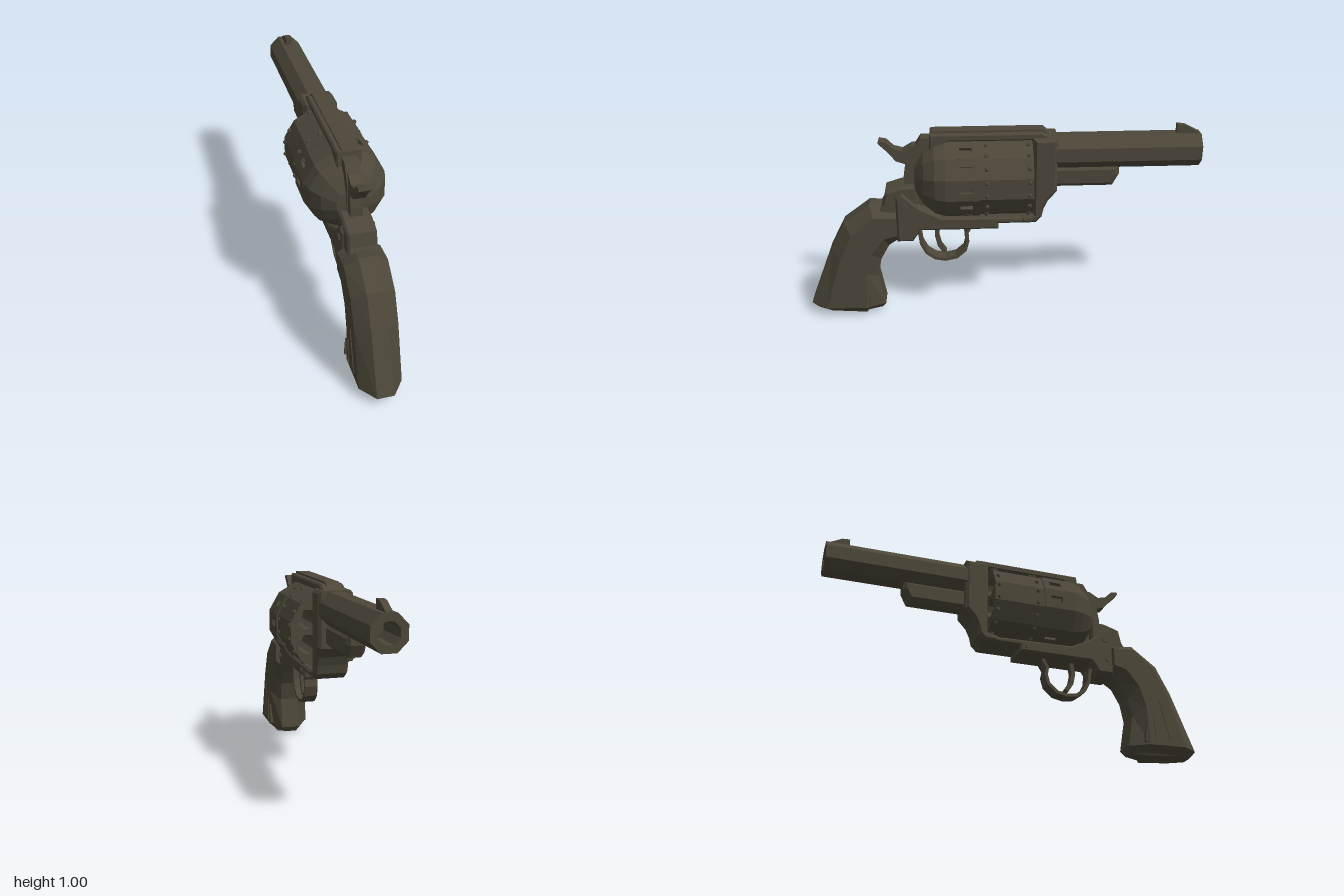
import * as THREE from 'three';

const gunmetal = new THREE.MeshStandardMaterial({ color: 0x4c4739 });
gunmetal.name = 'dark gunmetal';
const AXIS_Y = 0.745; // height of the cylinder axis
const TURN = Math.PI / 6;

export function createModel() {
  const model = new THREE.Group();
  model.name = 'revolver';

  const add = (name, geo, parent = model) => {
    const g = geo.index ? geo.toNonIndexed() : geo;
    g.computeVertexNormals(); // faceted look
    const mesh = new THREE.Mesh(g, gunmetal);
    mesh.name = name;
    parent.add(mesh);
    return mesh;
  };
  const shapeOf = pts => new THREE.Shape(pts.map(p => new THREE.Vector2(...p)));

  // Side profile in (z, y), given a half width in x and an optional chamfer
  const side = (pts, half, bevel = 0) => {
    const depth = 2 * (half - bevel);
    const g = new THREE.ExtrudeGeometry(shapeOf(pts), {
      depth, bevelEnabled: bevel > 0, bevelSize: bevel, bevelThickness: bevel,
      bevelOffset: -bevel, bevelSegments: 1,
    });
    return g.translate(0, 0, -depth / 2).rotateY(-Math.PI / 2);
  };
  // Strip of even thickness that follows a path in (z, y)
  const strip = (path, t, half) => {
    const off = s => path.map((p, i) => {
      const a = path[Math.max(i - 1, 0)], b = path[Math.min(i + 1, path.length - 1)];
      const l = Math.hypot(b[0] - a[0], b[1] - a[1]);
      return [p[0] - s * (b[1] - a[1]) / l, p[1] + s * (b[0] - a[0]) / l];
    });
    return side([...off(t / 2), ...off(-t / 2).reverse()], half);
  };
  // Faceted turned part along z, profile in (radius, z)
  const turned = (pts, sides, y) =>
    new THREE.LatheGeometry(pts.map(p => new THREE.Vector2(...p)), sides, Math.PI / sides)
      .rotateX(Math.PI / 2).translate(0, y, 0);

  // Barrel with open bore, front sight and ejector housing
  add('barrel', turned([[0, -0.8], [0.052, -0.8], [0.052, -1], [0.09, -1], [0.09, -0.25], [0, -0.25]], 8, 0.872));
  add('frontSight', side([[-0.88, 0.94], [-0.99, 0.94], [-0.99, 0.96], [-0.92, 0.997], [-0.88, 1]], 0.016));
  add('ejectorHousing', side([[-0.25, 0.69], [-0.565, 0.69], [-0.597, 0.75], [-0.597, 0.8], [-0.25, 0.8]], 0.05, 0.02));

  // Frame
  add('frontFrame', side([[-0.16, 0.96], [-0.28, 0.96], [-0.28, 0.68], [-0.235, 0.63], [-0.215, 0.585],
    [-0.205, 0.54], [-0.175, 0.51], [-0.1, 0.51], [-0.1, 0.545], [-0.16, 0.56]], 0.088, 0.015));
  add('topStrap', side([[-0.28, 0.95], [-0.2, 0.985], [0.35, 0.985], [0.355, 0.9], [0.3, 0.9], [0.27, 0.947],
    [-0.16, 0.947], [-0.2, 0.9], [-0.28, 0.9]], 0.06, 0.008));
  add('topRib', side([[-0.24, 0.97], [-0.21, 0.995], [0.34, 0.995], [0.35, 0.97]], 0.034));
  add('rearFrame', side([[0.3, 0.96], [0.395, 0.96], [0.43, 0.905], [0.445, 0.87], [0.445, 0.6], [0.3, 0.6]], 0.036));
  add('lowerFrame', side([[0.53, 0.66], [0.53, 0.42], [0.45, 0.42], [0.41, 0.48], [0.015, 0.48], [0.015, 0.51],
    [-0.16, 0.51], [-0.16, 0.54], [0.3, 0.55], [0.4, 0.6], [0.44, 0.63], [0.5, 0.69]], 0.084, 0.01));
  add('rearTang', side([[0.42, 0.5], [0.42, 0.72], [0.5, 0.715], [0.58, 0.69], [0.595, 0.62], [0.62, 0.58], [0.54, 0.5]], 0.072, 0.01));

  // Frame screws on both sides
  for (const s of [-1, 1]) {
    for (const [z, y, r] of [[0.49, 0.615, 0.02], [0.5, 0.5, 0.014], [0.05, 0.51, 0.012]]) {
      add('screw', new THREE.CylinderGeometry(r, r, 0.014, 8).rotateZ(Math.PI / 2).translate(s * 0.084, y, z));
    }
  }

  // Cylinder: front drum with open chambers
  const cylinder = new THREE.Group();
  cylinder.name = 'cylinder';
  model.add(cylinder);
  const ring = (n, r, phase) => Array.from({ length: n }, (_, i) => {
    const a = phase + i * 2 * Math.PI / n;
    return [r * Math.cos(a), r * Math.sin(a)];
  });
  const drum = shapeOf(ring(12, 0.2, TURN / 2));
  for (const [cx, cy] of ring(6, 0.124, TURN)) {
    drum.holes.push(new THREE.Path(ring(10, 0.05, 0).map(([x, y]) => new THREE.Vector2(cx + x, cy + y))));
  }
  add('chamberDrum', new THREE.ExtrudeGeometry(drum, { depth: 0.265, bevelEnabled: false })
    .translate(0, AXIS_Y, -0.155), cylinder);

  // Domed rear of the cylinder and its core
  add('rearDome', turned([[0, 0.11], [0.184, 0.11], [0.184, 0.275], [0.207, 0.275], [0.192, 0.33],
    [0.148, 0.385], [0.08, 0.43], [0, 0.435]], 12, AXIS_Y), cylinder);

  // Twelve panels with stop notches cut through them
  const panel = shapeOf([[-0.0535, 0.11], [0.0535, 0.11], [0.0535, 0.277], [-0.0535, 0.277]]);
  panel.holes.push(new THREE.Path([[-0.015, 0.145], [-0.015, 0.207], [0.015, 0.207], [0.015, 0.145]]
    .map(p => new THREE.Vector2(...p))));
  for (let i = 0; i < 12; i++) {
    const c = Math.cos(i * TURN), s = Math.sin(i * TURN);
    const m = new THREE.Matrix4().makeBasis(new THREE.Vector3(-s, c, 0),
      new THREE.Vector3(0, 0, 1), new THREE.Vector3(c, s, 0)).setPosition(0.18 * c, AXIS_Y + 0.18 * s, 0);
    add('notchedPanel', new THREE.ExtrudeGeometry(panel, { depth: 0.02, bevelEnabled: false }).applyMatrix4(m), cylinder);
  }

  // Two rings of rivets
  for (const z of [0.075, -0.135]) {
    for (const [x, y] of ring(18, 0.196, Math.PI / 18)) {
      add('rivet', new THREE.SphereGeometry(0.012, 6, 4).translate(x, AXIS_Y + y, z), cylinder);
    }
  }

  // Hammer, trigger and guard
  add('hammer', side([[0.38, 0.7], [0.485, 0.7], [0.485, 0.76], [0.475, 0.825], [0.52, 0.84], [0.555, 0.885],
    [0.605, 0.935], [0.6, 0.948], [0.565, 0.94], [0.53, 0.905], [0.485, 0.893], [0.44, 0.92], [0.4, 0.92]], 0.03));
  add('trigger', strip([[0.32, 0.49], [0.33, 0.42], [0.318, 0.365], [0.29, 0.322]], 0.022, 0.018));
  add('triggerGuard', strip([[0.44, 0.475], [0.418, 0.44], [0.41, 0.38], [0.385, 0.33], [0.34, 0.297], [0.29, 0.288],
    [0.23, 0.3], [0.185, 0.34], [0.172, 0.39], [0.18, 0.43], [0.155, 0.475]], 0.017, 0.036));

  // Grip: octagonal sections from the frame to the butt [backZ, backY, frontZ, frontY, halfWidth]
  const sections = [[0.53, 0.6, 0.53, 0.42, 0.105], [0.665, 0.615, 0.575, 0.39, 0.105], [0.8, 0.515, 0.62, 0.31, 0.105],
    [0.875, 0.37, 0.64, 0.21, 0.105], [0.998, 0.055, 0.61, 0.045, 0.105], [0.965, 0.018, 0.63, 0.014, 0.068],
    [0.74, 0, 0.7, 0, 0.06]];
  const outline = [[0.4, 0], [1, 0.22], [1, 0.75], [0.5, 1], [-0.5, 1], [-1, 0.75], [-1, 0.22], [-0.4, 0]];
  const pos = [], idx = [];
  sections.forEach(([bz, by, fz, fy, w], i) => {
    outline.forEach(([x, t], j) => {
      pos.push(x * w, by + (fy - by) * t, bz + (fz - bz) * t);
      if (i === 0) return;
      const k = (j + 1) % 8, a = (i - 1) * 8 + j, b = (i - 1) * 8 + k, c = i * 8 + k, d = i * 8 + j;
      idx.push(a, d, c, a, c, b);
    });
  });
  const last = (sections.length - 1) * 8;
  for (let k = 1; k < 7; k++) idx.push(0, k, k + 1, last, last + k + 1, last + k);
  const grip = new THREE.BufferGeometry();
  grip.setAttribute('position', new THREE.Float32BufferAttribute(pos, 3));
  grip.setIndex(idx);
  add('grip', grip);

  // Thin carved grain slivers on both grip sides
  for (const pts of [[[0.82, 0.08], [0.835, 0.08], [0.77, 0.3]], [[0.74, 0.06], [0.752, 0.06], [0.735, 0.2]],
    [[0.68, 0.06], [0.695, 0.06], [0.695, 0.17]]]) {
    add('gripGrain', side(pts, 0.109));
  }
  return model;
}
